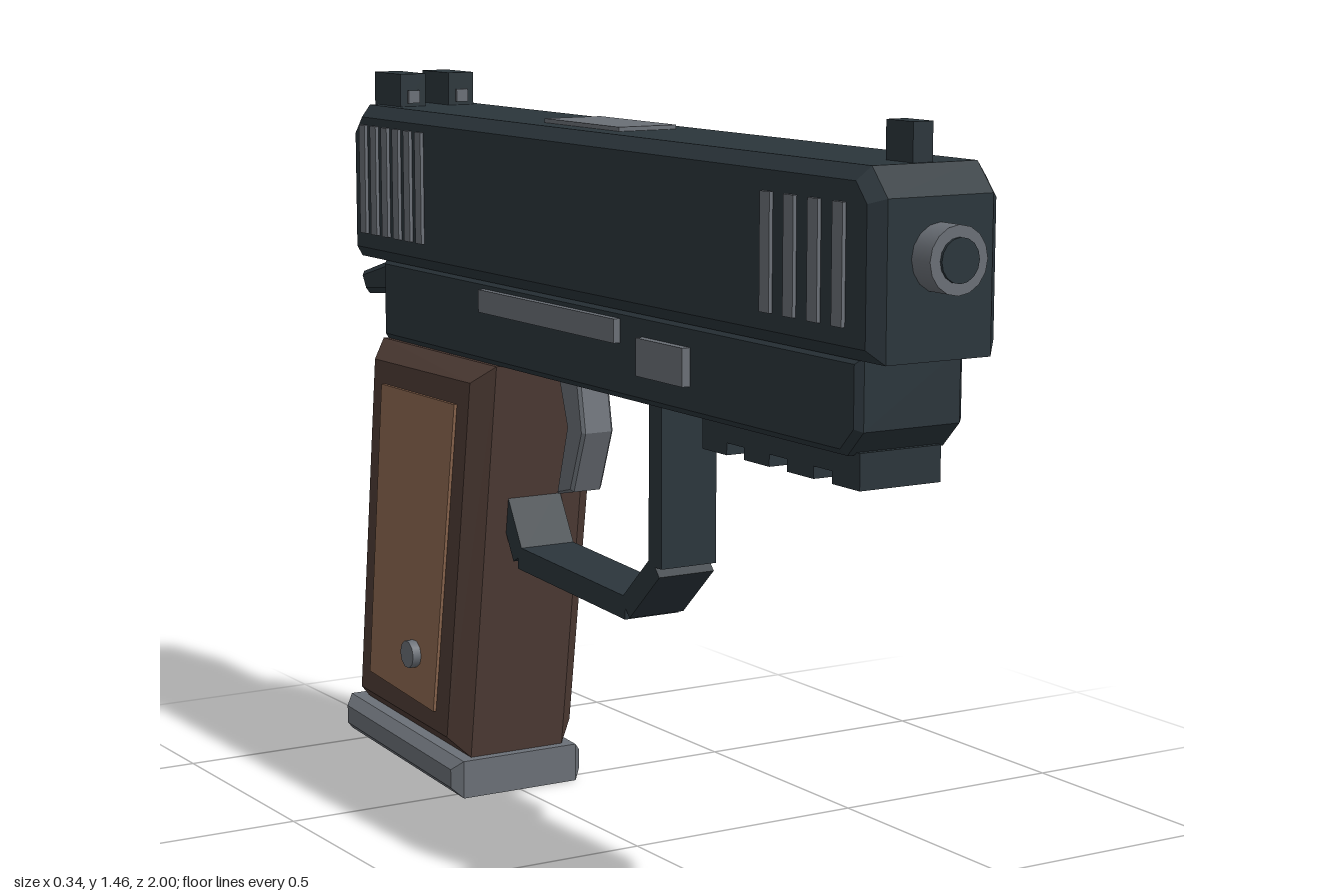
import * as THREE from 'three';

const mat = (name, color) => {
  const m = new THREE.MeshStandardMaterial({ color });
  m.name = name;
  return m;
};

export function createModel() {
  const gunmetal = mat('gunmetal', 0x2b353b);
  const steel = mat('steel grey', 0x6a6f76);
  const darkWood = mat('dark brown', 0x4f3c35);
  const lightWood = mat('light brown', 0x8e6850);

  const model = new THREE.Group();
  model.name = 'pistol';

  const add = (name, geometry, material) => {
    const mesh = new THREE.Mesh(geometry, material);
    mesh.name = name;
    model.add(mesh);
    return mesh;
  };

  // Side outline given as [z, y], extruded across x with chamfered edges
  const profile = (name, points, halfWidth, bevel, material, x = 0) => {
    const shape = new THREE.Shape(points.map(([z, y]) => new THREE.Vector2(z, y)));
    const g = new THREE.ExtrudeGeometry(shape, {
      depth: 2 * (halfWidth - bevel), bevelEnabled: bevel > 0, bevelThickness: bevel,
      bevelSize: bevel, bevelOffset: -bevel, bevelSegments: 1,
    });
    g.translate(0, 0, bevel - halfWidth).rotateY(-Math.PI / 2).translate(x, 0, 0);
    return add(name, g, material);
  };

  // Box given by its limits on each axis
  const box = (name, [x0, x1], [y0, y1], [z0, z1], material) => add(name,
    new THREE.BoxGeometry(x1 - x0, y1 - y0, z1 - z0)
      .translate((x0 + x1) / 2, (y0 + y1) / 2, (z0 + z1) / 2), material);

  // Slide and frame
  profile('slide', [[0.945, 1.07], [0.945, 1.34], [0.9, 1.39], [-0.9, 1.39],
    [-0.945, 1.34], [-0.945, 1.07]], 0.13, 0.024, gunmetal);
  profile('frame', [[0.875, 0.95], [0.875, 1.075], [-0.845, 1.075], [-0.845, 0.905],
    [0.83, 0.905]], 0.11, 0.012, gunmetal);
  profile('rearTang', [[-0.83, 1.07], [-0.87, 1.065], [-0.995, 1.03], [-0.97, 0.985],
    [-0.83, 1.0]], 0.09, 0.012, gunmetal);

  // Muzzle with a dark bore
  add('muzzle', new THREE.CylinderGeometry(0.058, 0.058, 0.1, 16)
    .rotateX(Math.PI / 2).translate(0, 1.24, 0.945), steel);
  add('bore', new THREE.CylinderGeometry(0.038, 0.038, 0.1, 16)
    .rotateX(Math.PI / 2).translate(0, 1.24, 0.95), gunmetal);

  // Sights
  box('frontSight', [-0.02, 0.02], [1.38, 1.457], [0.818, 0.893], gunmetal);
  box('frontSightDot', [-0.011, 0.011], [1.4, 1.425], [0.811, 0.819], steel);
  for (const s of [-1, 1]) {
    const c = 0.056 * s;
    box('rearSight', [c - 0.029, c + 0.029], [1.38, 1.457], [-0.917, -0.8], gunmetal);
    box('rearSightDot', [c - 0.013, c + 0.013], [1.397, 1.423], [-0.801, -0.794], steel);
  }

  // Grip serrations on both sides of the slide
  for (const s of [-1, 1]) {
    const xs = s > 0 ? [0.128, 0.137] : [-0.137, -0.128];
    for (let i = 0; i < 6; i++) {
      const z = -0.628 - i * 0.05;
      box('rearSerration', xs, [1.125, 1.35], [z - 0.013, z + 0.013], steel);
    }
    for (let i = 0; i < 4; i++) {
      const z = 0.848 - i * 0.071;
      box('frontSerration', xs, [1.125, 1.33], [z - 0.015, z + 0.015], steel);
    }
  }

  // Ejection port and extractor
  box('portTop', [-0.062, 0.062], [1.388, 1.398], [-0.24, 0.037], steel);
  box('portSide', [0.128, 0.136], [1.21, 1.355], [-0.283, 0.05], steel);
  box('extractor', [0.128, 0.135], [1.275, 1.31], [0.05, 0.2], steel);

  // Controls on the other side
  box('slideLever', [-0.124, -0.108], [1.01, 1.055], [-0.4, 0.12], steel);
  box('takedownButton', [-0.126, -0.108], [0.96, 1.03], [0.2, 0.36], steel);

  // Accessory rail with cross ridges
  box('rail', [-0.083, 0.083], [0.868, 0.91], [0.36, 0.845], gunmetal);
  for (let i = 0; i < 4; i++) {
    const z = 0.36 + i * 0.135;
    box('railRidge', [-0.083, 0.083], [0.846, 0.87], [z, z + 0.08], gunmetal);
  }

  // Trigger guard: straight bars along a path of [z, y] points
  const path = [[0.162, 0.91], [0.162, 0.59], [0.055, 0.492], [-0.36, 0.515], [-0.425, 0.63]];
  for (let i = 0; i < path.length - 1; i++) {
    const [z0, y0] = path[i], [z1, y1] = path[i + 1];
    const bar = add('triggerGuardBar',
      new THREE.BoxGeometry(0.12, 0.045, Math.hypot(z1 - z0, y1 - y0)), gunmetal);
    bar.position.set(0, (y0 + y1) / 2, (z0 + z1) / 2);
    bar.rotation.x = -Math.atan2(y1 - y0, z1 - z0);
  }
  profile('trigger', [[-0.165, 0.91], [-0.144, 0.795], [-0.19, 0.673], [-0.25, 0.66],
    [-0.21, 0.8], [-0.246, 0.91]], 0.035, 0.006, steel);

  // Handle, side panels, screws and base plate
  profile('grip', [[-0.358, 0.905], [-0.48, 0.08], [-0.945, 0.11], [-0.85, 0.905]],
    0.145, 0.038, darkWood);
  for (const s of [-1, 1]) {
    profile('gripPanel', [[-0.454, 0.82], [-0.56, 0.165], [-0.85, 0.19], [-0.775, 0.82]],
      0.0045, 0, lightWood, s * 0.147);
    add('gripScrew', new THREE.CylinderGeometry(0.029, 0.029, 0.04, 10)
      .rotateZ(Math.PI / 2).translate(s * 0.15, 0.272, -0.64), steel);
  }
  profile('basePlate', [[-0.465, 0], [-0.465, 0.078], [-0.98, 0.11], [-0.98, 0.033]],
    0.152, 0.02, steel);

  return model;
}
